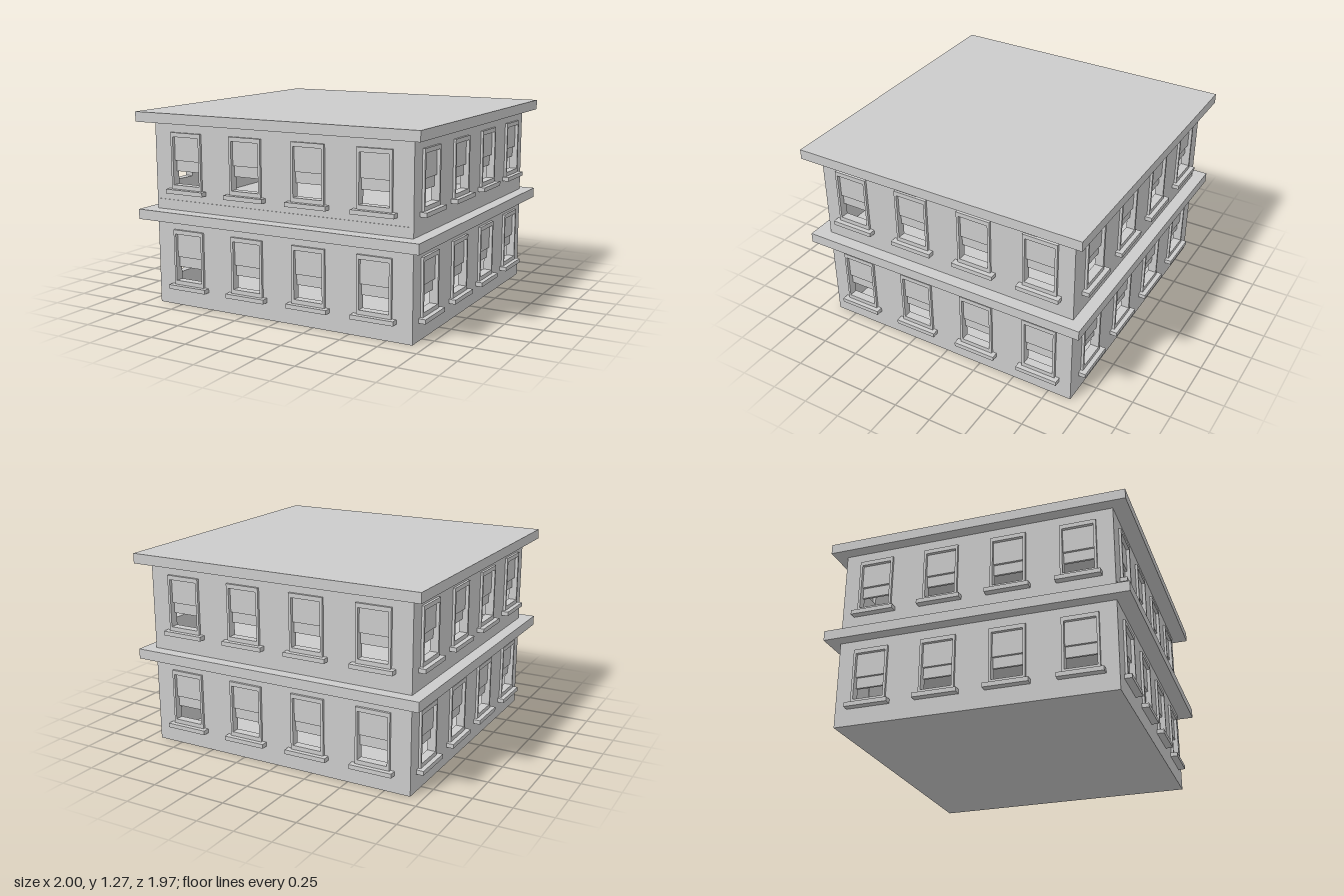
import * as THREE from 'three';

const mat = new THREE.MeshStandardMaterial({ color: 0xcccccc, flatShading: true });
const HALF_X = 0.92, HALF_Z = 0.895, MID_Z = -0.01; // wall footprint
const STOREY = 0.57, SLAB = 0.065, WALL = 0.04;
const WINDOW_X = [-0.673, -0.224, 0.224, 0.673];
const OPEN = { w: 0.198, y0: 0.167, y1: 0.477 };

function mesh(name, geometry, x = 0, y = 0, z = 0) {
  const m = new THREE.Mesh(geometry, mat);
  m.name = name;
  m.position.set(x, y, z);
  return m;
}

function box(name, w, y0, y1, z0, z1, x = 0) {
  return mesh(name, new THREE.BoxGeometry(w, y1 - y0, z1 - z0), x, (y0 + y1) / 2, (z0 + z1) / 2);
}

function rect(Type, x, w, y0, y1) {
  return new Type([[-1, y0], [1, y0], [1, y1], [-1, y1]].map(([s, y]) => new THREE.Vector2(x + s * w / 2, y)));
}

// flat panel with rectangular holes, extruded towards +z
function panel(w, y0, y1, holeXs, depth) {
  const shape = rect(THREE.Shape, 0, w, y0, y1);
  for (const x of holeXs) shape.holes.push(rect(THREE.Path, x, OPEN.w, OPEN.y0, OPEN.y1));
  return new THREE.ExtrudeGeometry(shape, { depth, bevelEnabled: false });
}

// sash window with raised lower sash; z = 0 is the outer wall face
function makeWindow(x) {
  const g = new THREE.Group();
  g.name = 'window';
  g.position.x = x;
  g.add(
    mesh('windowFrame', panel(0.23, 0.14, 0.505, [0], 0.016)),
    box('windowSill', 0.285, 0.112, 0.14, 0, 0.046),
    box('upperSash', OPEN.w, 0.322, OPEN.y1, -0.02, -0.005),
    box('lowerSash', OPEN.w, 0.252, 0.402, -0.035, -0.02)
  );
  return g;
}

// one wall of a storey, facing local +z
function makeFacade(width) {
  const g = new THREE.Group();
  g.name = 'facade';
  g.add(mesh('wall', panel(width, 0, STOREY, WINDOW_X, WALL), 0, 0, -WALL));
  for (const x of WINDOW_X) g.add(makeWindow(x));
  return g;
}

function makeStorey(y) {
  const g = new THREE.Group();
  g.name = 'storey';
  g.position.set(0, y, MID_Z);
  for (let i = 0; i < 4; i++) {
    const side = i % 2 === 1;
    const f = makeFacade(side ? 2 * (HALF_Z - WALL) : 2 * HALF_X);
    const a = i * Math.PI / 2, d = side ? HALF_X : HALF_Z;
    f.rotation.y = a;
    f.position.set(Math.sin(a) * d, 0, Math.cos(a) * d);
    g.add(f);
  }
  return g;
}

export function createModel() {
  const model = new THREE.Group();
  model.name = 'building';

  // ground floor inside the walls
  const inner = HALF_Z - WALL;
  model.add(box('groundFloor', 2 * (HALF_X - WALL), 0, 0.01, MID_Z - inner, MID_Z + inner));

  // two storeys, each capped by an overhanging slab
  ['floorSlab', 'roofSlab'].forEach((name, i) => {
    const y = i * (STOREY + SLAB);
    model.add(makeStorey(y));
    model.add(box(name, 2, y + STOREY, y + STOREY + SLAB, -0.983, 0.983));
  });

  // thin skirting along the foot of the upper front wall
  const front = MID_Z + HALF_Z;
  model.add(box('skirting', 1.82, 0.635, 0.7, front, front + 0.004));
  return model;
}
